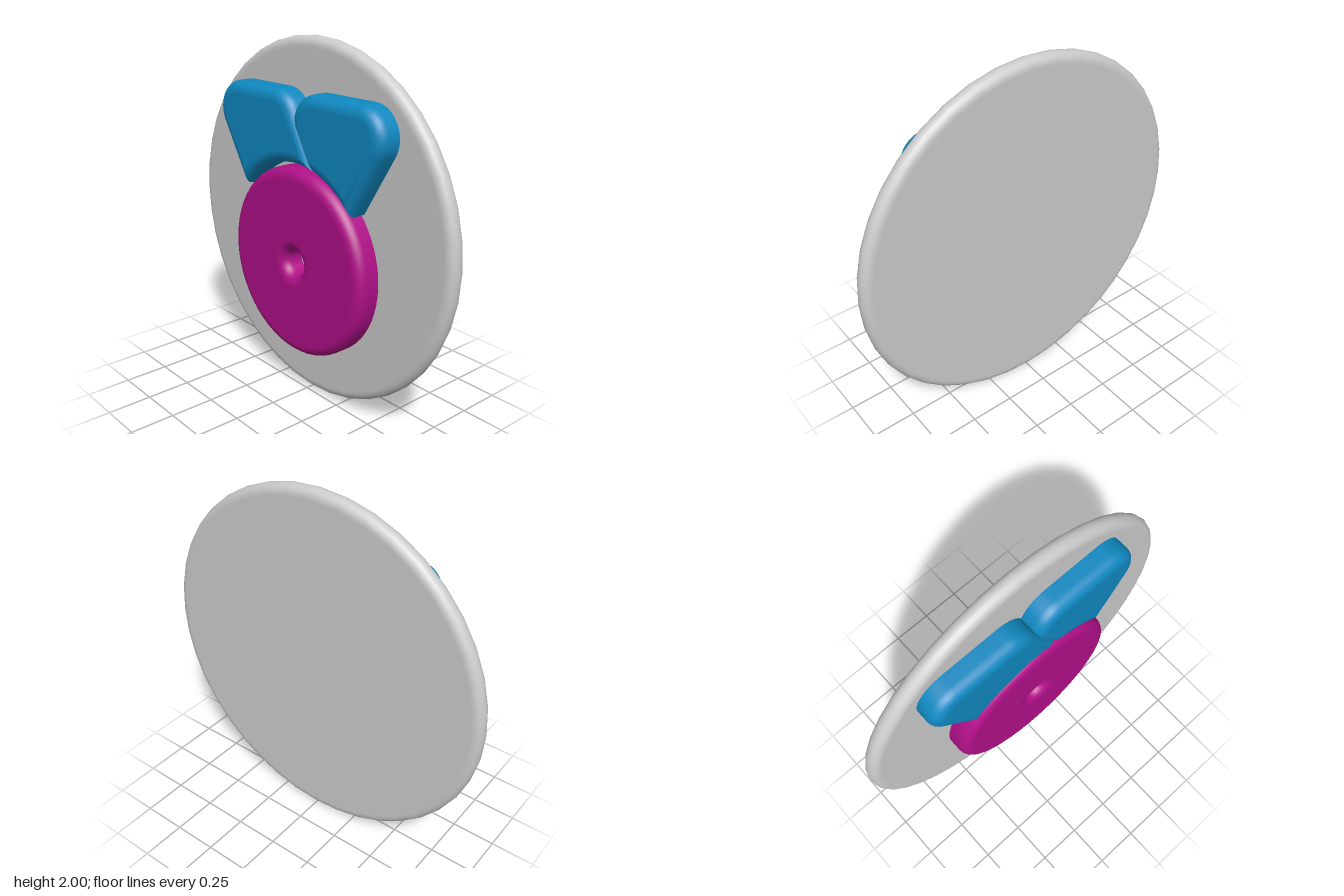
import * as THREE from 'three';
import { mergeGeometries, toCreasedNormals } from 'three/addons/utils/BufferGeometryUtils.js';

const BACK = -0.03, FRONT = 0.11, BEVEL = 0.06, STEPS = 6;
const polar = (cx, cy, r, a) => [cx + r * Math.cos(a), cy + r * Math.sin(a)];

// Quarter round or longer, as profile points
function arc(cx, cy, r, a0, a1, n) {
  return Array.from({ length: n + 1 }, (_, i) => polar(cx, cy, r, a0 + (a1 - a0) * i / n));
}

// Turned part whose axis points to the front
function turned(profile, segments) {
  const g = new THREE.LatheGeometry(profile.map(p => new THREE.Vector2(...p)), segments);
  return g.rotateX(Math.PI / 2);
}

// Angle on a circle where it meets the line (X - p) . n = e
function meet(cx, cy, r, p, phi, e, side) {
  const h = e - (cx - p[0]) * Math.cos(phi) - (cy - p[1]) * Math.sin(phi);
  return phi + side * Math.acos(THREE.MathUtils.clamp(h / r, -1, 1));
}

// Ribbon outline inset by d; the inner edge is inset by d * k
function outline(d, inner, phi, k) {
  const r = 0.16 - d, R = 0.55 + d, outerPhi = 2.597;
  const topEnd = meet(0.15, 1.57, r, inner, phi, d * k, 1);
  const lowIn = meet(0, 0.8, R, inner, phi, d * k, 1);
  const lowOut = meet(0, 0.8, R, [0.42, 1.16], outerPhi, d, -1);
  return [
    ...arc(0.48, 1.57, r, outerPhi - Math.PI, Math.PI / 2, 14),
    ...arc(0.15, 1.57, r, Math.PI / 2, topEnd, 12),
    ...arc(0, 0.8, R, lowIn, lowOut, 16),
  ];
}

// Loft the outline through a rounded front edge and cap it
function ribbonGeometry(side, inner, phi, k) {
  const ring = (d, z) => {
    const pts = outline(d, inner, phi, k).map(([x, y]) => [x * side, y, z]);
    return side < 0 ? pts.reverse() : pts;
  };
  const rings = [ring(0, BACK)];
  for (let i = 0; i <= STEPS; i++) {
    const a = Math.PI / 2 * i / STEPS;
    rings.push(ring(BEVEL * (1 - Math.cos(a)), FRONT - BEVEL + BEVEL * Math.sin(a)));
  }
  const pos = [];
  for (let j = 0; j < rings.length - 1; j++) {
    const a = rings[j], b = rings[j + 1], n = a.length;
    for (let i = 0; i < n; i++) {
      const m = (i + 1) % n;
      pos.push(...a[i], ...a[m], ...b[m], ...a[i], ...b[m], ...b[i]);
    }
  }
  const wall = new THREE.BufferGeometry();
  wall.setAttribute('position', new THREE.Float32BufferAttribute(pos, 3));

  const cap = (pts, z, flip) => {
    const g = new THREE.ShapeGeometry(new THREE.Shape(pts.map(p => new THREE.Vector2(p[0], p[1])))).toNonIndexed();
    g.deleteAttribute('uv');
    if (flip) {
      // Turn the back cap over without moving its outline
      g.rotateY(Math.PI);
      const p = g.attributes.position;
      for (let i = 0; i < p.count; i++) p.setX(i, -p.getX(i));
      for (let i = 0; i < p.count; i += 3) {
        const b = new THREE.Vector3().fromBufferAttribute(p, i + 1);
        const c = new THREE.Vector3().fromBufferAttribute(p, i + 2);
        p.setXYZ(i + 1, c.x, c.y, c.z);
        p.setXYZ(i + 2, b.x, b.y, b.z);
      }
    }
    return g.translate(0, 0, z);
  };
  return mergeGeometries([
    toCreasedNormals(wall, 0.6),
    cap(rings[rings.length - 1], FRONT, false),
    cap(rings[0], BACK, true),
  ]);
}

export function createModel() {
  const group = new THREE.Group();
  const add = (name, geometry, color, y = 0) => {
    const mesh = new THREE.Mesh(geometry, new THREE.MeshStandardMaterial({ color }));
    mesh.name = name;
    mesh.position.y = y;
    group.add(mesh);
  };
  const blue = 0x1088c0, H = Math.PI / 2;

  // Round backing plate with a full round rim
  const t = 0.046, zc = -0.065;
  add('backingPlate', turned([
    [0, zc - t], [1 - t - 0.01, zc - t],
    ...arc(1 - t, zc, t, -H, H, 10),
    [1 - t - 0.01, zc + t], [0, zc + t],
  ], 40), 0xcccccc, 1);

  // Medal disc: rounded rim and a flared centre hole
  add('medalDisc', turned([
    [0.53, BACK],
    ...arc(0.53 - BEVEL, FRONT - BEVEL, BEVEL, 0, H, 8),
    [0.46, FRONT], [0.14, FRONT],
    ...arc(0.07 + BEVEL, FRONT - BEVEL, BEVEL, H, Math.PI, 8),
    [0.07, BACK],
  ], 64), 0xb01088, 0.8);

  // Ribbon tails: the right one is rounded all round, the left one is cut along the inner edge
  add('rightRibbon', ribbonGeometry(-1, [0, 1.63], -0.464, 1), blue);
  add('leftRibbon', ribbonGeometry(1, [0, 1.625], 0.513, 0), blue);

  return group;
}
